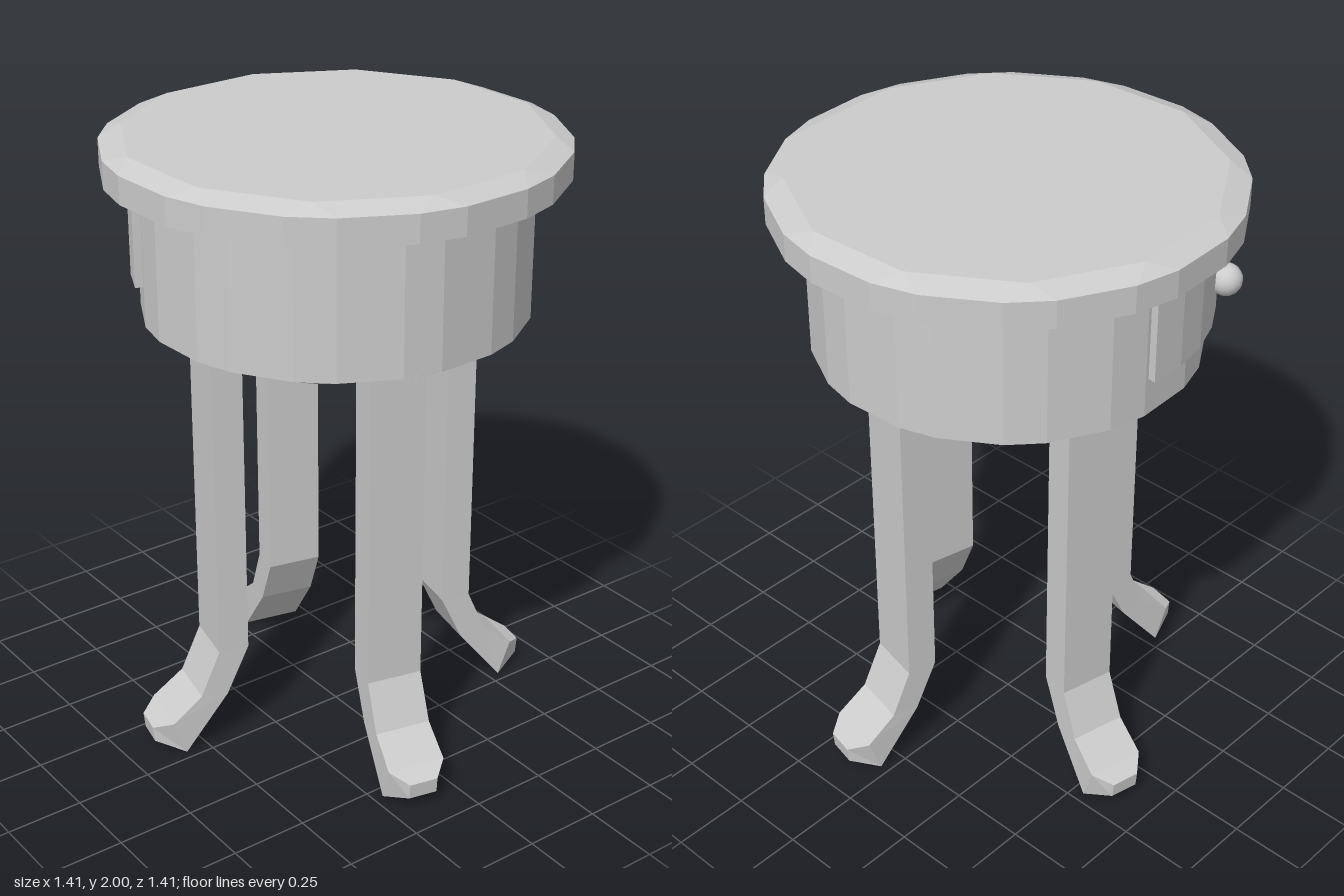
import * as THREE from 'three';

const rad = THREE.MathUtils.degToRad;
const P = (x, y, z) => new THREE.Vector3(x, y, z);

// Faceted skin over equal-length rings, closed at both ends.
// Rings run counterclockwise as seen from the last ring looking back.
function loft(rings) {
  const out = [];
  const tri = (...pts) => pts.forEach((p) => out.push(p.x, p.y, p.z));
  const n = rings[0].length;
  for (let k = 0; k < rings.length - 1; k++) {
    const lo = rings[k], hi = rings[k + 1];
    for (let i = 0; i < n; i++) {
      const j = (i + 1) % n;
      if (!lo[i].equals(lo[j])) tri(lo[i], lo[j], hi[j]);
      if (!hi[i].equals(hi[j])) tri(lo[i], hi[j], hi[i]);
    }
  }
  const first = rings[0], last = rings[rings.length - 1];
  for (let i = 1; i < n - 1; i++) {
    tri(first[0], first[i + 1], first[i]);
    tri(last[0], last[i], last[i + 1]);
  }
  const geo = new THREE.BufferGeometry();
  geo.setAttribute('position', new THREE.Float32BufferAttribute(out, 3));
  geo.computeVertexNormals();
  return geo;
}

// Twelve-sided ring whose corners are cut by the given half angle
function cutRing(r, y, cut) {
  const pts = [];
  for (let k = 0; k < 12; k++) {
    for (const s of [-cut, cut]) {
      const t = rad(17.75 + 30 * k + s);
      pts.push(P(r * Math.cos(t), y, -r * Math.sin(t)));
    }
  }
  return pts;
}

export function createModel() {
  const model = new THREE.Group();
  model.name = 'roundSideTable';
  const grey = new THREE.MeshStandardMaterial({ color: 0xcccccc });
  grey.name = 'plain grey';

  const add = (name, geo) => {
    const mesh = new THREE.Mesh(geo, grey);
    mesh.name = name;
    model.add(mesh);
    return mesh;
  };

  // Table top with a bevelled upper rim
  add('tableTop', loft([
    cutRing(0.708, 1.888, 5.8), cutRing(0.708, 1.975, 5.8), cutRing(0.65, 2, 0),
  ]));

  // Drum below the top, bevelled at its lower rim
  add('drum', loft([
    cutRing(0.55, 1.42, 0), cutRing(0.602, 1.445, 5.8), cutRing(0.602, 1.89, 5.8),
  ]));

  // Curved drawer front wrapped around the drum
  const sections = [];
  const steps = 7;
  for (let i = 0; i <= steps; i++) {
    const a = rad(THREE.MathUtils.lerp(-5.3, 70.4, i / steps));
    const at = (r, y) => P(-r * Math.cos(a), y, r * Math.sin(a));
    sections.push([at(0.57, 1.567), at(0.57, 1.835), at(0.625, 1.835), at(0.625, 1.567)]);
  }
  add('drawerFront', loft(sections));

  // Drawer knob
  const knob = add('drawerKnob', new THREE.SphereGeometry(0.05, 16, 12));
  const ka = rad(32.5);
  knob.position.set(-0.65 * Math.cos(ka), 1.7, 0.65 * Math.sin(ka));

  // Leg sections from toe to top: outer z, outer y, inner z, inner y, half width
  const legRings = [
    [0.67, 0.09, 0.665, 0.038, 0.047],
    [0.615, 0.117, 0.573, 0, 0.095],
    [0.515, 0.195, 0.425, 0.185, 0.092],
    [0.45, 0.345, 0.35, 0.345, 0.091],
    [0.45, 1.44, 0.35, 1.44, 0.091],
  ].map(([oz, oy, iz, iy, w]) => [P(w, oy, oz), P(w, iy, iz), P(-w, iy, iz), P(-w, oy, oz)]);
  const legGeo = loft(legRings);
  ['frontLeg', 'leftLeg', 'backLeg', 'rightLeg'].forEach((name, k) => {
    add(name, legGeo).rotation.y = rad(-12.5 + 90 * k);
  });

  return model;
}
